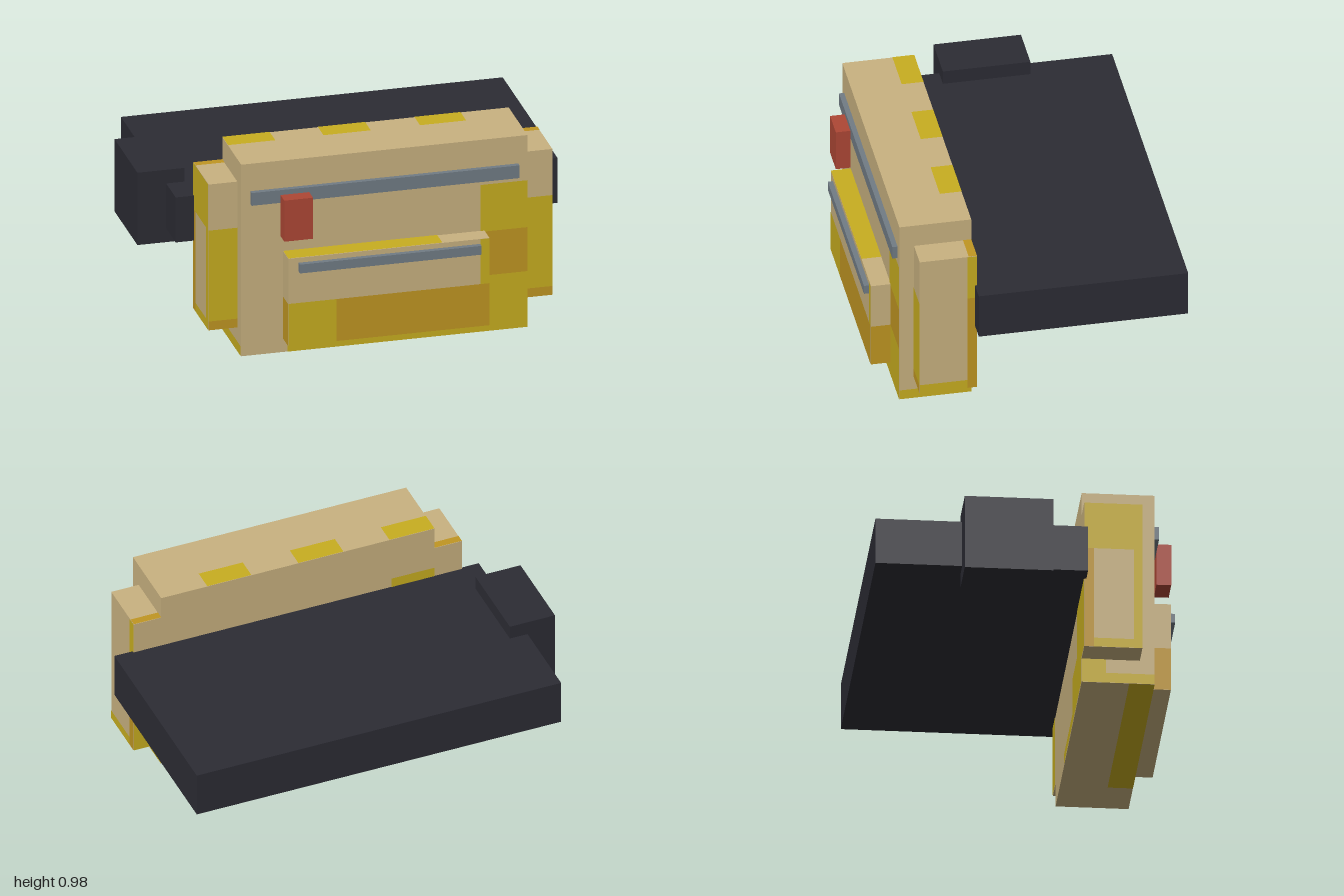
import * as THREE from 'three';

const mat = (name, color) => Object.assign(new THREE.MeshStandardMaterial({ color }), { name });

export function createModel() {
  const tan = mat('tan fabric', 0xc9b280);
  const yellow = mat('yellow fabric', 0xc8ae20);
  const ochre = mat('ochre fabric', 0xc09622);
  const dark = mat('dark belt', 0x2c2c34);
  const steel = mat('steel zip', 0x717c85);
  const red = mat('red pull tab', 0xae4735);

  const model = new THREE.Group();
  model.name = 'beltPack';

  // Box given by its extents on each axis
  function block(name, material, [x0, x1], [y0, y1], [z0, z1]) {
    const mesh = new THREE.Mesh(new THREE.BoxGeometry(x1 - x0, y1 - y0, z1 - z0), material);
    mesh.position.set((x0 + x1) / 2, (y0 + y1) / 2, (z0 + z1) / 2);
    mesh.name = name;
    model.add(mesh);
  }

  // Flat patch just above a face; u,v are x,y on z faces, z,y on x faces, x,z on y faces
  function patch(name, material, axis, side, at, [u0, u1], [v0, v1]) {
    const mesh = new THREE.Mesh(new THREE.PlaneGeometry(u1 - u0, v1 - v0), material);
    const u = (u0 + u1) / 2, v = (v0 + v1) / 2, d = at + side * 0.002;
    if (axis === 'z') {
      mesh.position.set(u, v, d);
      if (side < 0) mesh.rotation.y = Math.PI;
    } else if (axis === 'x') {
      mesh.position.set(d, v, u);
      mesh.rotation.y = side * Math.PI / 2;
    } else {
      mesh.position.set(u, d, v);
      mesh.rotation.x = -side * Math.PI / 2;
    }
    mesh.name = name;
    model.add(mesh);
  }

  // Main bag
  const back = 0.265, front = 0.61, L = -0.63, R = 0.765;
  block('mainBag', tan, [L, R], [0, 0.98], [back, front]);

  // Front patches
  patch('frontPatch', yellow, 'z', 1, front, [0.535, R], [0.51, 0.75]);
  patch('frontPatch', ochre, 'z', 1, front, [0.535, R], [0.285, 0.51]);
  patch('frontPatch', yellow, 'z', 1, front, [0.535, R], [0.05, 0.285]);
  patch('frontHem', yellow, 'z', 1, front, [-0.405, R], [0, 0.05]);

  // Back patches
  patch('backPatch', yellow, 'z', -1, back, [L, -0.41], [0, 0.75]);
  patch('backPatch', yellow, 'z', -1, back, [-0.41, -0.17], [0, 0.23]);
  patch('backHem', yellow, 'z', -1, back, [-0.17, 0.29], [0, 0.05]);

  // Top and bottom patches
  for (const [a, b] of [[L, -0.4], [-0.165, 0.065], [0.305, 0.53]])
    patch('topPatch', yellow, 'y', 1, 0.98, [a, b], [back, 0.37]);
  patch('bottomPatch', yellow, 'y', -1, 0, [L, 0.53], [0.49, front]);

  // Side pouches with bordered faces
  const py0 = 0.12, py1 = 0.865, pFront = 0.54;
  for (const side of [-1, 1]) {
    const wall = side > 0 ? R : L;
    const outer = wall + side * 0.14;
    const xs = [Math.min(wall, outer), Math.max(wall, outer)];
    block('sidePouch', tan, xs, [py0, py1], [back, pFront]);
    patch('pouchFront', yellow, 'z', 1, pFront, xs, [0.165, 0.63]);
    patch('pouchFrontHem', ochre, 'z', 1, pFront, xs, [py0, 0.165]);
    patch('pouchBack', yellow, 'z', -1, back, xs, [py0, 0.63]);
    patch('pouchTop', ochre, 'y', 1, py1, xs, [back, 0.305]);
    patch('pouchRearEdge', ochre, 'x', side, outer, [back, 0.31], [py0, 0.63]);
    patch('pouchHem', yellow, 'x', side, outer, [0.31, pFront], [py0, 0.165]);
    if (side > 0) {
      patch('pouchRearEdge', yellow, 'x', side, outer, [back, 0.31], [0.63, py1]);
    } else {
      patch('pouchUpper', yellow, 'x', side, outer, [back, pFront], [0.63, py1]);
      patch('pouchFrontEdge', yellow, 'x', side, outer, [0.5, pFront], [0.165, 0.63]);
    }
    // Lower sides of the bag below each pouch
    patch('bagSideHem', yellow, 'x', side, wall, [back, 0.38], [0, py0]);
    patch('bagSideHem', yellow, 'x', side, wall, [0.38, front], [0, 0.05]);
  }

  // Front pocket
  const kx = [-0.425, 0.555], kFront = 0.705;
  block('frontPocket', tan, kx, [0.07, 0.515], [front, kFront]);
  patch('pocketPatch', yellow, 'z', 1, kFront, [kx[0], -0.19], [0.07, 0.285]);
  patch('pocketPatch', ochre, 'z', 1, kFront, [-0.19, kx[1]], [0.07, 0.285]);
  patch('pocketEdge', yellow, 'z', 1, kFront, [0.51, kx[1]], [0.285, 0.515]);
  patch('pocketTop', yellow, 'y', 1, 0.515, [kx[0], 0.325], [front, kFront]);
  patch('pocketSide', ochre, 'x', 1, kx[1], [front, kFront], [0.07, 0.285]);
  patch('pocketSide', ochre, 'x', -1, kx[0], [front, kFront], [0.07, 0.285]);

  // Zips and pull tab
  block('upperZip', steel, [-0.585, 0.72], [0.775, 0.84], [front, 0.635]);
  block('lowerZip', steel, [-0.375, 0.51], [0.445, 0.49], [kFront, 0.73]);
  block('pullTab', red, [-0.445, -0.305], [0.605, 0.815], [0.635, 0.705]);

  // Belt and buckle
  block('belt', dark, [-0.86, 1], [0.47, 0.7], [-0.73, 0.275]);
  block('buckle', dark, [-1, -0.77], [0.4, 0.77], [-0.32, 0.1]);

  return model;
}
